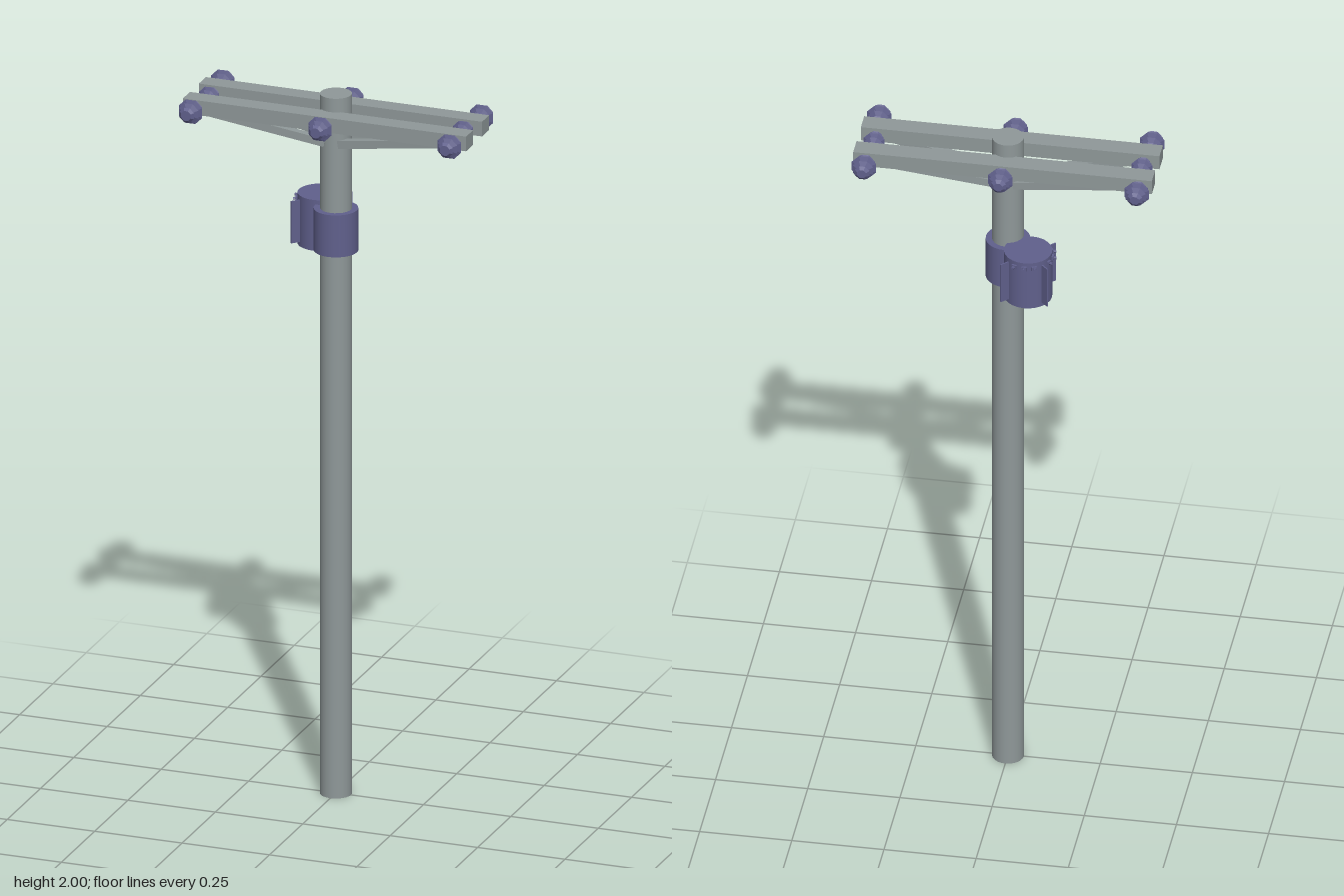
import * as THREE from 'three';

const poleMat = new THREE.MeshStandardMaterial({ color: 0x8f9899 });
const poleFlat = new THREE.MeshStandardMaterial({ color: 0x8f9899, flatShading: true });
const blueMat = new THREE.MeshStandardMaterial({ color: 0x60608c });
const blueFlat = new THREE.MeshStandardMaterial({ color: 0x60608c, flatShading: true });

export function createModel() {
  const model = new THREE.Group();
  const add = (name, geometry, material, x = 0, y = 0, z = 0, parent = model) => {
    const mesh = new THREE.Mesh(geometry, material);
    mesh.name = name;
    mesh.position.set(x, y, z);
    parent.add(mesh);
    return mesh;
  };

  // Pole
  add('pole', new THREE.CylinderGeometry(0.043, 0.043, 2, 24), poleMat, 0, 1);

  // Pair of cross arms, each held by two sloping braces
  const up = new THREE.Vector3(0, 1, 0);
  for (const s of [1, -1]) {
    add('crossArm', new THREE.BoxGeometry(0.81, 0.042, 0.053), poleFlat, 0, 1.94, s * 0.06);
    for (const side of [1, -1]) {
      const a = new THREE.Vector3(side * 0.02, 1.868, s * 0.028);
      const b = new THREE.Vector3(side * 0.37, 1.93, s * 0.064);
      const brace = add('brace', new THREE.BoxGeometry(0.022, 0.022, a.distanceTo(b)), poleFlat);
      brace.up.copy(up);
      brace.position.copy(a).add(b).multiplyScalar(0.5);
      brace.lookAt(b);
    }
  }

  // Ribbed insulators lying along z: sharp discs on a thin core
  const rims = [0.022, 0.03, 0.036, 0.03, 0.022];
  const profile = [new THREE.Vector2(0, -0.035), new THREE.Vector2(0.013, -0.035)];
  rims.forEach((r, i) => {
    const y = -0.028 + i * 0.014;
    profile.push(new THREE.Vector2(r, y), new THREE.Vector2(0.015, y + 0.007));
  });
  profile.push(new THREE.Vector2(0, 0.035));
  const insulatorGeo = new THREE.LatheGeometry(profile, 8);
  insulatorGeo.rotateY(Math.PI / 8);
  insulatorGeo.rotateX(Math.PI / 2);
  for (const x of [-0.37, 0, 0.37]) {
    for (const s of [1, -1]) add('insulator', insulatorGeo, blueFlat, x, 1.94, s * 0.121);
  }
  for (const s of [1, -1]) {
    add('innerInsulator', insulatorGeo, blueFlat, s * 0.363, 1.94, 0).scale.set(0.85, 0.85, 0.94);
  }

  // Mounting band around the pole
  add('mountingBand', new THREE.CylinderGeometry(0.06, 0.06, 0.12, 24), blueMat, 0, 1.613);

  // Transformer drum behind the pole, on its right
  const transformer = new THREE.Group();
  transformer.name = 'transformer';
  transformer.position.set(-0.066, 1.613, -0.066);
  model.add(transformer);
  add('drum', new THREE.CylinderGeometry(0.065, 0.065, 0.145, 24), blueMat, 0, 0, 0, transformer);

  // Parts placed around the drum, their local x pointing outwards
  const around = (name, geometry, degrees, radius, y) => {
    const t = THREE.MathUtils.degToRad(degrees);
    const part = add(name, geometry, blueFlat, Math.cos(t) * radius, y, Math.sin(t) * radius, transformer);
    part.rotation.y = -t;
  };
  const fin = new THREE.BoxGeometry(0.03, 0.12, 0.004);
  for (const d of [135, 225, 315]) around('coolingFin', fin, d, 0.075, 0);
  const lug = new THREE.BoxGeometry(0.008, 0.012, 0.014);
  const stud = new THREE.CylinderGeometry(0.004, 0.004, 0.014, 6);
  stud.rotateZ(Math.PI / 2);
  for (const middle of [180, 270]) {
    for (const offset of [-24, 0, 24]) {
      around('lug', lug, middle + offset, 0.066, 0.056);
      around('stud', stud, middle + offset, 0.07, 0.056);
    }
  }
  return model;
}
